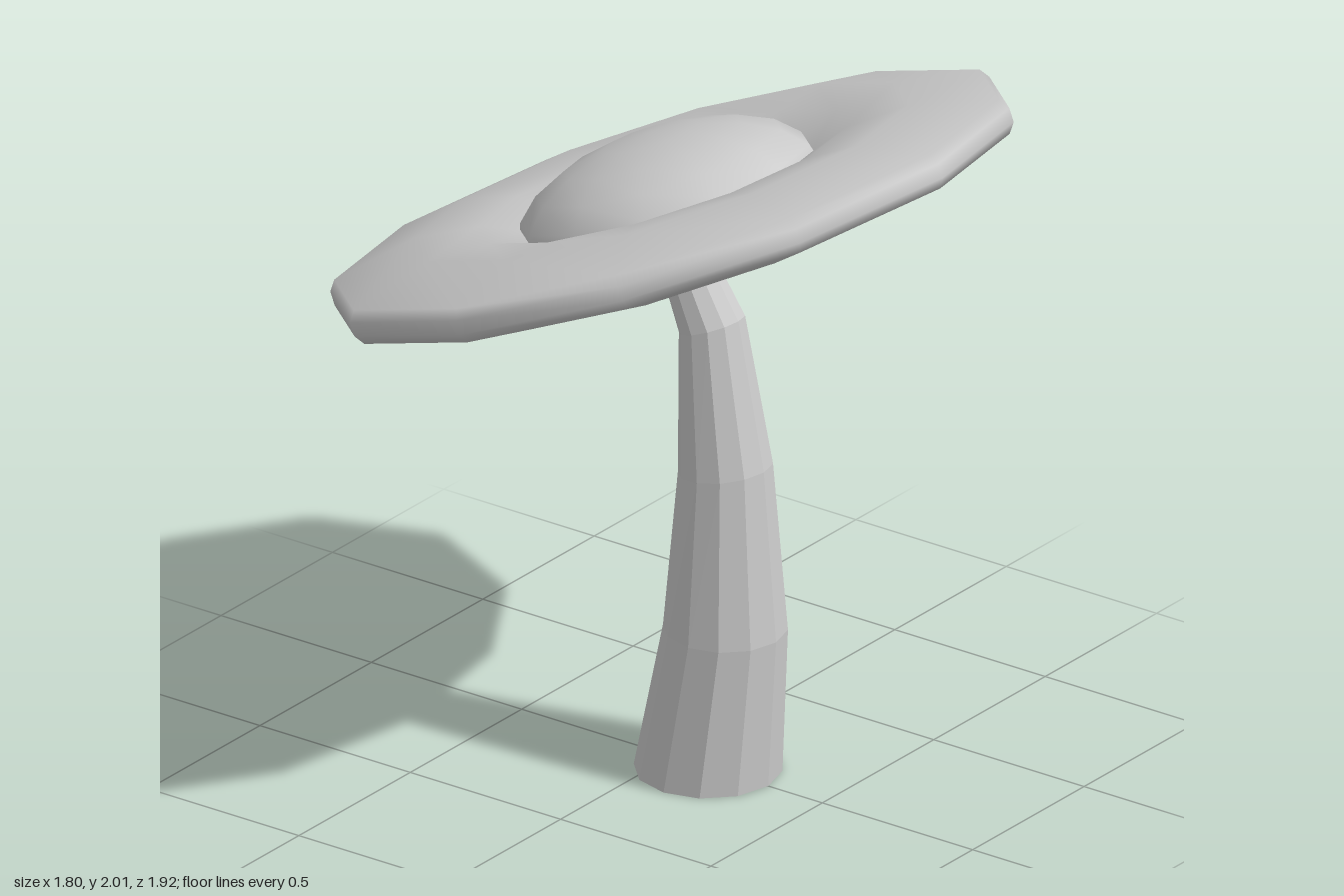
import * as THREE from 'three';

const SIDES = 12;

// Bent tapering stem: a cylinder whose rings follow a leaning path
function makeStem(material) {
  // centre x, centre y, radius, lean of the ring (radians)
  const rings = [
    [0.12, 0, 0.2, 0],
    [0.178, 0.43, 0.168, 0],
    [0.178, 0.9, 0.129, 0.15],
    [0.133, 1.31, 0.093, 0.34],
    [0.05, 1.47, 0.075, 0.4],
  ];
  const geometry = new THREE.CylinderGeometry(1, 1, 1, SIDES, rings.length - 1);
  const pos = geometry.attributes.position;
  for (let i = 0; i < pos.count; i++) {
    const [cx, cy, r, lean] = rings[Math.round((pos.getY(i) + 0.5) * (rings.length - 1))];
    const x = pos.getX(i) * r;
    pos.setXYZ(i, cx + x * Math.cos(lean), cy + x * Math.sin(lean), pos.getZ(i) * r);
  }
  geometry.computeVertexNormals();
  const stem = new THREE.Mesh(geometry, material);
  stem.name = 'stem';
  return stem;
}

// Broad brim, puffed between the rim and the dome, the same above and below
function makeBrim(material) {
  const upper = [[0.96, 0.02], [0.94, 0.048], [0.7, 0.1], [0.52, 0.085], [0.4, 0.042], [0.3, 0.01]];
  const lower = upper.map(([r, y]) => [r, -y]).reverse();
  const profile = [...lower, ...upper].map(([r, y]) => new THREE.Vector2(r, y));
  const brim = new THREE.Mesh(new THREE.LatheGeometry(profile, SIDES), material);
  brim.name = 'brim';
  return brim;
}

export function createModel() {
  const smooth = new THREE.MeshStandardMaterial({ color: 0xcccccc });
  const flat = new THREE.MeshStandardMaterial({ color: 0xcccccc, flatShading: true });

  // Flattened ball showing as a dome on both sides of the brim
  const dome = new THREE.Mesh(new THREE.SphereGeometry(0.43, SIDES, 10), smooth);
  dome.name = 'dome';
  dome.scale.y = 0.49;

  // Tilted cap
  const cap = new THREE.Group();
  cap.name = 'cap';
  cap.add(makeBrim(smooth), dome);
  cap.position.y = 1.618;
  cap.rotation.z = THREE.MathUtils.degToRad(21.5);

  const model = new THREE.Group();
  model.name = 'model';
  model.add(makeStem(flat), cap);
  return model;
}
